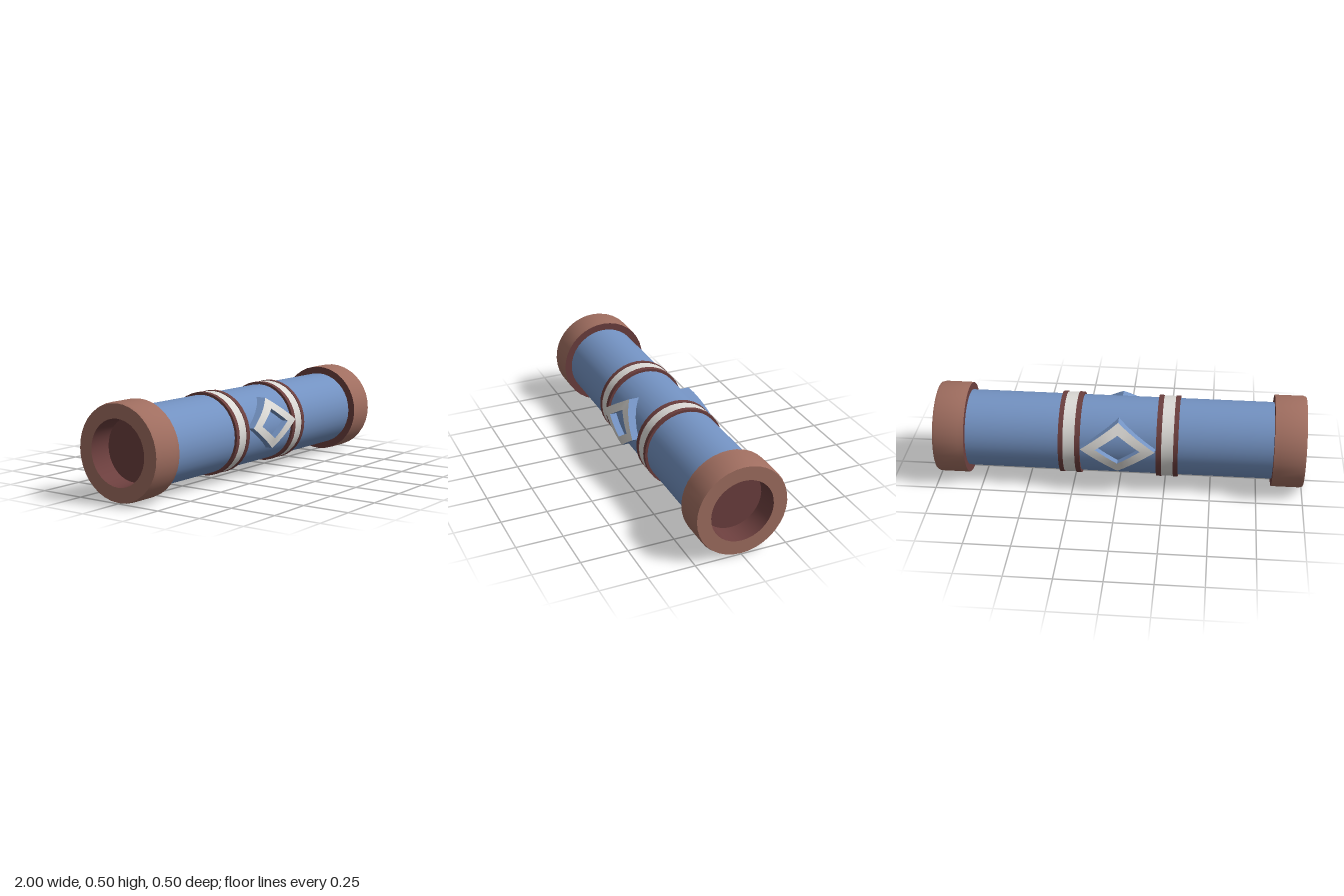
import * as THREE from 'three';
import { toCreasedNormals } from 'three/addons/utils/BufferGeometryUtils.js';

const AXIS_Y = 0.25;

const blue = new THREE.MeshStandardMaterial({ color: 0x7392c2 });
blue.name = 'blue';
const terracotta = new THREE.MeshStandardMaterial({ color: 0xa06e60 });
terracotta.name = 'terracotta';
const maroon = new THREE.MeshStandardMaterial({ color: 0x6c3f3e });
maroon.name = 'maroon';
const ivory = new THREE.MeshStandardMaterial({ color: 0xdcdad6 });
ivory.name = 'ivory';

// Revolves [radius, x] pairs around the long axis
function turned(name, profile, material) {
  const lathe = new THREE.LatheGeometry(profile.map(([r, x]) => new THREE.Vector2(r, x)), 36);
  lathe.rotateZ(-Math.PI / 2);
  const mesh = new THREE.Mesh(toCreasedNormals(lathe, 0.6), material);
  mesh.name = name;
  return mesh;
}

// Closed band around the tube from x0 to x1
function ring(name, r, x0, x1, material) {
  return turned(name, [[0.2, x0], [r, x0], [r, x1], [0.2, x1]], material);
}

// Hollow end cap and the two trim bands of one half
function createHalf(name) {
  const half = new THREE.Group();
  half.name = name;
  half.add(
    turned('endCap', [[0.249, 0.83], [0.25, 0.86], [0.25, 0.985], [0.245, 1], [0.17, 1]], terracotta),
    turned('capInnerFace', [[0.2, 0.83], [0.249, 0.83]], maroon),
    turned('socket', [[0.17, 1], [0.165, 0.88], [0, 0.88]], maroon),
    ring('innerTrim', 0.223, 0.205, 0.233, maroon),
    ring('whiteBand', 0.22, 0.233, 0.297, ivory),
    ring('outerTrim', 0.223, 0.297, 0.322, maroon),
  );
  return half;
}

// Point on a cylinder of radius r, seen from the front
const onTube = (x, dy, r) => [x, dy, Math.sqrt(r * r - dy * dy)];

// Strip of quads between two closed loops of points
function strip(name, a, b, material) {
  const positions = [];
  for (let i = 0; i < a.length; i++) {
    const j = (i + 1) % a.length;
    positions.push(...a[i], ...a[j], ...b[j], ...a[i], ...b[j], ...b[i]);
  }
  const geometry = new THREE.BufferGeometry();
  geometry.setAttribute('position', new THREE.Float32BufferAttribute(positions, 3));
  const mesh = new THREE.Mesh(toCreasedNormals(geometry, 0.6), material);
  mesh.name = name;
  return mesh;
}

// Anticlockwise diamond loop wrapped on the tube
function diamondLoop(w, h, r) {
  const corners = [[w, 0], [0, h], [-w, 0], [0, -h]];
  const steps = 6;
  const loop = [];
  corners.forEach(([x, y], i) => {
    const [nx, ny] = corners[(i + 1) % 4];
    for (let s = 0; s < steps; s++) {
      const t = s / steps;
      loop.push(onTube(x + (nx - x) * t, 0.035 + y + (ny - y) * t, r));
    }
  });
  return loop;
}

// Raised diamond frame: pale face, blue sides
function createDiamond(name) {
  const diamond = new THREE.Group();
  diamond.name = name;
  const outer = diamondLoop(0.2, 0.136, 0.246);
  const inner = diamondLoop(0.12, 0.08, 0.246);
  diamond.add(
    strip('frameFace', outer, inner, ivory),
    strip('frameOuterSide', diamondLoop(0.2, 0.136, 0.2), outer, blue),
    strip('frameInnerSide', inner, diamondLoop(0.12, 0.08, 0.2), blue),
  );
  return diamond;
}

export function createModel() {
  const model = new THREE.Group();
  model.name = 'bandedTube';
  const parts = new THREE.Group();
  parts.name = 'tubeParts';
  parts.position.y = AXIS_Y;
  model.add(parts);

  parts.add(turned('body', [[0.209, -0.85], [0.209, 0.85]], blue));

  // Each half and each diamond repeats, turned about the vertical axis
  const rightHalf = createHalf('rightHalf');
  rightHalf.rotation.y = Math.PI;
  const backDiamond = createDiamond('backDiamond');
  backDiamond.rotation.y = Math.PI;
  parts.add(createHalf('leftHalf'), rightHalf, createDiamond('frontDiamond'), backDiamond);
  return model;
}
